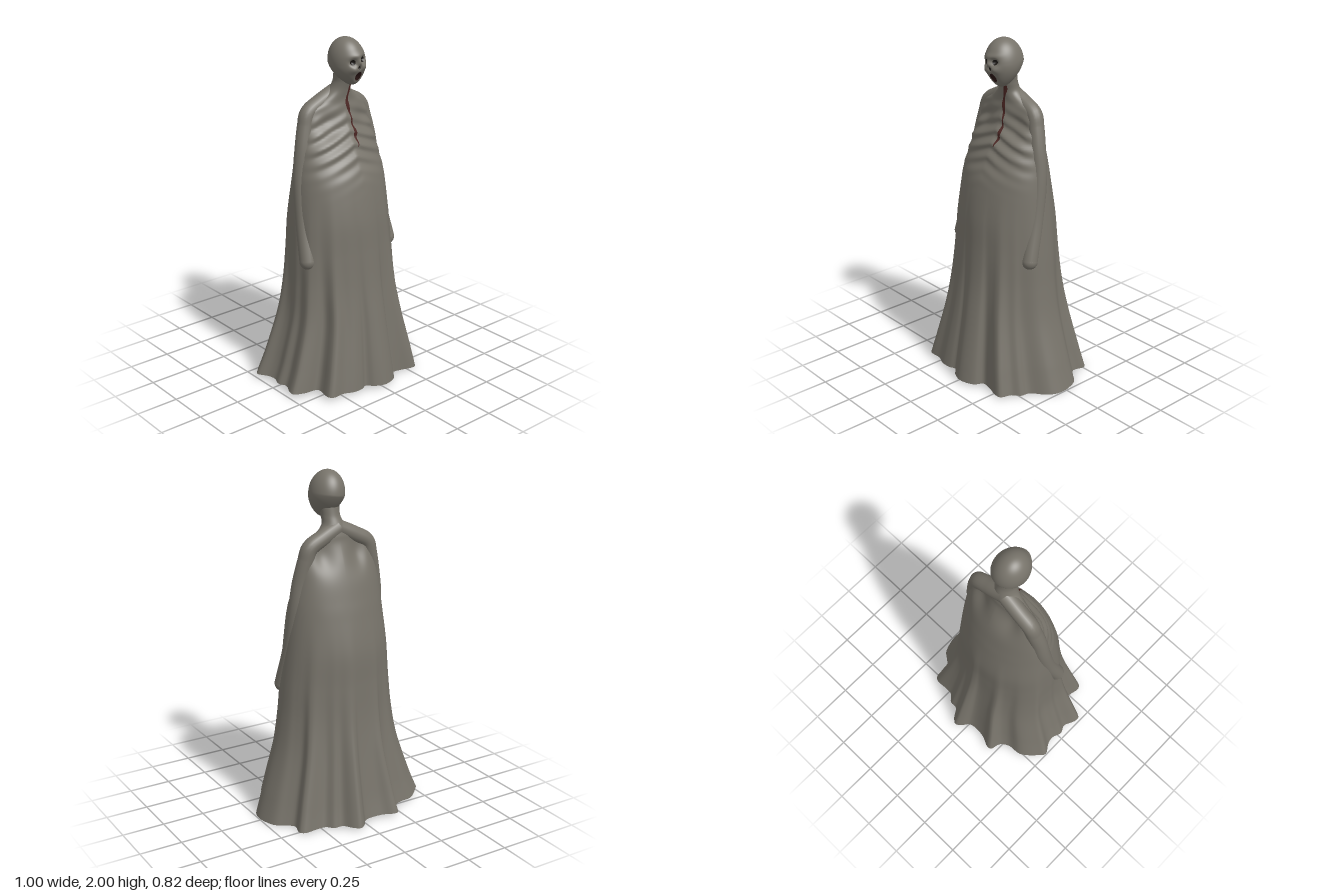
import * as THREE from 'three';
import { mergeVertices } from 'three/addons/utils/BufferGeometryUtils.js';

const mat = (color) => new THREE.MeshStandardMaterial({ color, side: THREE.DoubleSide });
const cloth = mat(0x77736a), dark = mat(0x1d1916), red = mat(0x4a2522), under = mat(0x4a463d);
const gauss = (...d) => Math.exp(-d.reduce((s, v) => s + v * v, 0));

// Pleated hem outline (x, z), running from the left side round the front
const HEM = [
  .495, .03, .48, .09, .45, .13, .385, .19, .375, .24, .335, .28, .31, .345, .27, .35, .20, .33,
  .14, .325, .11, .375, .02, .408, -.05, .385, -.09, .35, -.13, .365, -.19, .368, -.25, .345,
  -.33, .345, -.35, .32, -.34, .22, -.42, .205, -.485, .175, -.485, .14, -.455, .07, -.475, .02,
  -.455, -.04, -.465, -.09, -.5, -.15, -.47, -.19, -.38, -.265, -.29, -.275, -.24, -.31,
  -.22, -.37, -.19, -.375, -.12, -.345, -.01, -.345, .03, -.39, .065, -.41, .1, -.385,
  .14, -.33, .19, -.325, .23, -.285, .28, -.28, .36, -.28, .385, -.255, .37, -.18,
  .41, -.14, .46, -.1, .485, -.04];
const hemPoints = [];
for (let i = 0; i < HEM.length; i += 2) hemPoints.push(new THREE.Vector3(HEM[i], 0, HEM[i + 1]));
const hemCurve = new THREE.CatmullRomCurve3(hemPoints, true);

// Robe sections: y, half width, front z, back z, pleat depth, centre x
const ROWS = [
  [.015, .48, .385, -.385, 1, 0], [.15, .438, .365, -.352, .95, 0], [.4, .37, .325, -.30, .75, 0],
  [.6, .343, .295, -.265, .5, -.005], [.8, .33, .275, -.245, .25, -.01],
  [1.0, .315, .258, -.233, .1, -.015], [1.2, .295, .22, -.197, 0, -.015],
  [1.3, .28, .18, -.175, 0, -.015], [1.4, .26, .138, -.15, 0, -.015],
  [1.5, .235, .09, -.117, 0, -.012], [1.6, .2, .06, -.078, 0, -.01],
  [1.65, .13, .052, -.068, 0, -.005], [1.7, .07, .058, -.055, 0, 0],
  [1.75, .055, .072, -.035, 0, .008], [1.8, .06, .09, -.025, 0, .01]];
const columns = [1, 2, 3, 4, 5].map((k) =>
  new THREE.SplineCurve(ROWS.map((r) => new THREE.Vector2(r[0], r[k]))));

// A point on the robe: angle a, relative hem radius rel, height parameter t
function robePoint(a, rel, t) {
  const [w, front, back, fold, cx] = columns.map((c) => c.getPoint(t).y);
  let y = columns[0].getPoint(t).x;
  const s = 1 + (rel - 1) * fold, cz = (front + back) / 2, d = (front - back) / 2;
  const x = cx + w * s * Math.cos(a);
  let z = cz + d * s * Math.sin(a);
  const facing = Math.sin(a);
  if (facing > 0) {
    // slanting ribs and the hollows under the collarbones
    const rib = gauss((y - 1.43) / .14) * Math.min(1, facing * 1.6);
    z += rib * .009 * Math.sin((y + .38 * Math.abs(x)) * 2 * Math.PI / .07);
    z -= .022 * gauss((Math.abs(x) - .13) / .07, (y - 1.53) / .07) * facing;
  } else {
    // hollows beside the spine
    z += .03 * gauss((Math.abs(x) - .11) / .06, (y - 1.54) / .08) * -facing;
  }
  y -= .015 * (x / .48) * Math.max(0, 1 - y / .15);
  return [x, y, z];
}

// Surface from a grid of points; closed joins the last column to the first
function grid(rows, cols, closed, point) {
  const pos = [], index = [];
  for (let j = 0; j < rows; j++) for (let i = 0; i < cols; i++) pos.push(...point(i, j));
  for (let j = 0; j < rows - 1; j++) {
    for (let i = 0; i < (closed ? cols : cols - 1); i++) {
      const a = j * cols + i, b = j * cols + (i + 1) % cols;
      index.push(a, a + cols, b, b, a + cols, b + cols);
    }
  }
  const g = new THREE.BufferGeometry();
  g.setAttribute('position', new THREE.Float32BufferAttribute(pos, 3));
  g.setIndex(index);
  g.computeVertexNormals();
  return g;
}

// Head surface for a unit direction: tapered jaw, forward chin, sunken features
function headPoint(v) {
  const low = Math.max(0, -v.y), f = Math.max(0, v.z);
  let x = v.x * .098 * (1 - .3 * low * low);
  let y = v.y * .133;
  let z = v.z * (.113 - .03 * low) + .028 * low;
  if (f > 0) {
    const ax = Math.abs(x);
    z -= .026 * gauss((ax - .034) / .019, (y - .012) / .018) * f;   // eye sockets
    z -= .014 * gauss(x / .011, (y + .022) / .014) * f;             // nose cavity
    z -= .022 * gauss(x / .022, (y + .08) / .028) * f;              // mouth
    z += .012 * gauss((ax - .04) / .022, (y + .03) / .02) * f;      // cheekbones
    z += .008 * gauss(x / .06, (y - .045) / .015) * f;              // brow
    z += .01 * gauss(x / .012, (y - .005) / .02) * f;               // nose bridge
  }
  return new THREE.Vector3(x, y, z);
}

export function createModel() {
  const model = new THREE.Group();
  const add = (name, geo, material, parent = model) => {
    const m = new THREE.Mesh(geo, material);
    m.name = name;
    parent.add(m);
    return m;
  };

  // Robe with pleats, chest and neck in one skin
  const N = 196, R = 150;
  const hem = Array.from({ length: N }, (_, i) => {
    const p = hemCurve.getPoint(i / N), x = p.x / .48, z = p.z / .385;
    return { a: Math.atan2(z, x), rel: Math.hypot(x, z) };
  });
  add('robe', grid(R, N, true, (i, j) => robePoint(hem[i].a, hem[i].rel, j / (R - 1))), cloth);

  // Underside closing the hem
  add('robeUnderside', grid(2, N, true, (i, j) =>
    j ? robePoint(hem[i].a, hem[i].rel, 0) : [0, .03, 0]), under);

  // Stain running down the neck and breastbone
  add('chestStain', grid(70, 5, false, (i, j) => {
    const k = j / 69, t = .56 + .4 * k;
    const half = .009 + .006 * Math.sin(k * 17) * (1 - k);
    const w = columns[0].getPoint(t).y, cx = columns[4].getPoint(t).y;
    const x = .022 + .01 * Math.sin(k * 9) - half * (i / 2 - 1) * Math.min(1, k * 6);
    const p = robePoint(Math.acos((x - cx) / w), 1, t);
    p[2] += .002;
    return p;
  }), red);

  // Shoulders and draped arms
  for (const side of [1, -1]) {
    const arm = new THREE.Group();
    arm.name = side > 0 ? 'leftArm' : 'rightArm';
    arm.position.x = -.015;
    model.add(arm);
    const path = [[0, 1.685, -.02], [.1, 1.638, -.026], [.185, 1.588, -.027], [.207, 1.52, -.022],
      [.235, 1.4, -.01], [.257, 1.25, 0], [.275, 1.0, .04], [.297, .78, .1]]
      .map(([x, y, z]) => new THREE.Vector3(x * side, y, z));
    add('sleeve', new THREE.TubeGeometry(new THREE.CatmullRomCurve3(path), 70, .047, 18), cloth, arm);
    const hand = add('hand', new THREE.SphereGeometry(.047, 20, 14), cloth, arm);
    hand.position.copy(path[7]);
  }

  // Head, slightly tilted
  const head = new THREE.Group();
  head.name = 'head';
  head.position.set(.013, 1.868, .05);
  head.rotation.z = .13;
  model.add(head);
  let skull = new THREE.SphereGeometry(1, 96, 72);
  skull.deleteAttribute('uv');
  skull.deleteAttribute('normal');
  skull = mergeVertices(skull);
  const p = skull.attributes.position, v = new THREE.Vector3();
  for (let i = 0; i < p.count; i++) {
    const q = headPoint(v.fromBufferAttribute(p, i));
    p.setXYZ(i, q.x, q.y, q.z);
  }
  skull.computeVertexNormals();
  add('skull', skull, cloth, head);

  // Dark eye sockets, nose cavity and open mouth, laid on the head surface
  const feature = (name, x, y, rx, ry, material) => {
    add(name, grid(7, 25, false, (i, j) => {
      const a = i / 24 * 2 * Math.PI, r = j / 6;
      const dx = (x + rx * r * Math.cos(a)) / .098, dy = (y + ry * r * Math.sin(a)) / .133;
      const q = headPoint(v.set(dx, dy, Math.sqrt(Math.max(0, 1 - dx * dx - dy * dy))));
      return [q.x, q.y, q.z + .0015];
    }), material, head);
  };
  feature('rightEyeSocket', -.034, .012, .015, .015, dark);
  feature('leftEyeSocket', .034, .012, .015, .015, dark);
  feature('noseCavity', 0, -.024, .007, .01, dark);
  feature('mouth', 0, -.076, .024, .026, mat(0x2a1614));
  return model;
}
